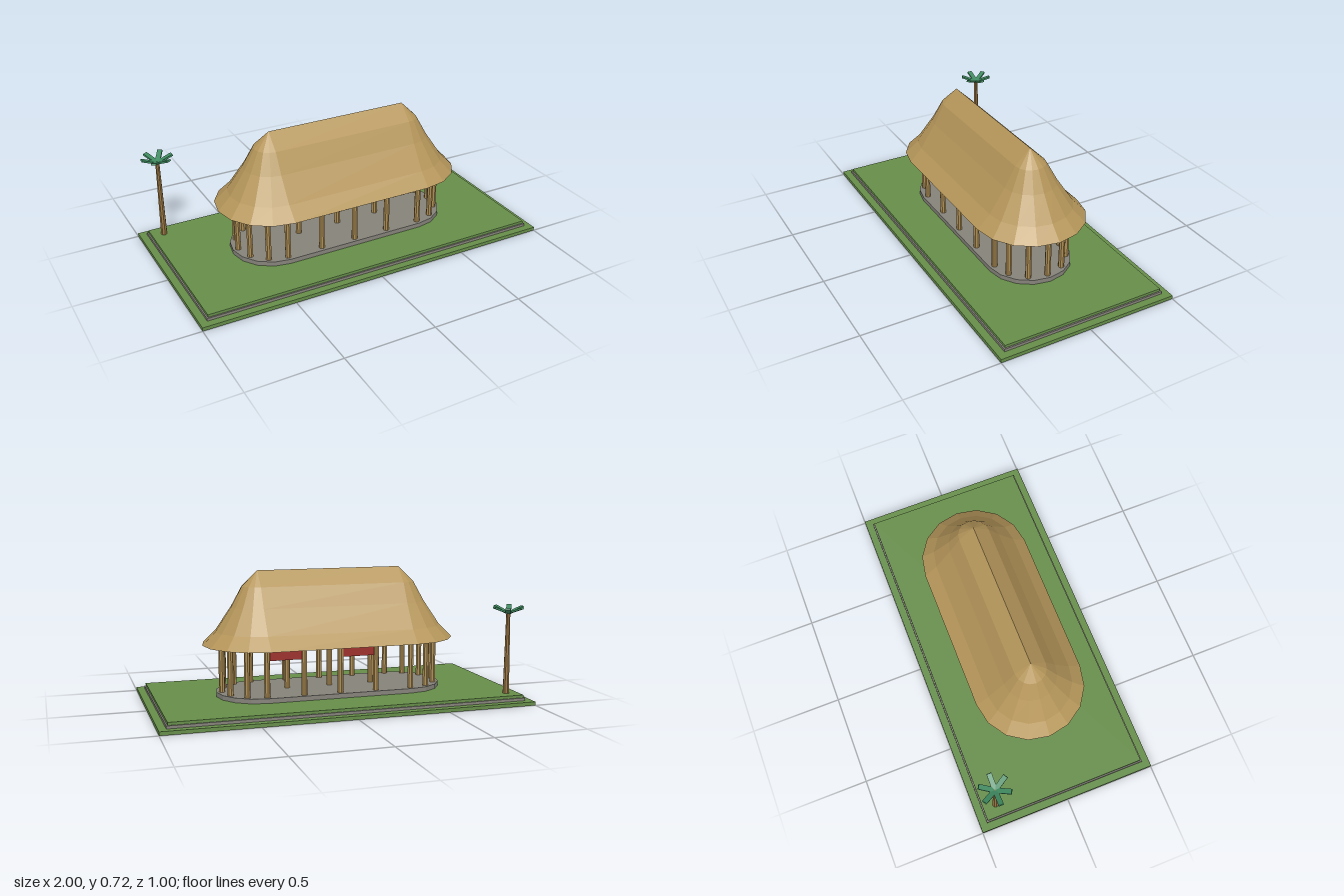
import * as THREE from 'three';

const material = (name, color) => {
  const m = new THREE.MeshStandardMaterial({ color });
  m.name = name;
  return m;
};

// Faceted loft of stadium-shaped rings; profile holds [radius, y] from bottom to top.
function stadiumLoft(profile, halfLength, segments = 8) {
  const ring = ([r, y]) => {
    const points = [];
    for (const side of [1, -1]) {
      for (let i = 0; i <= segments; i++) {
        const a = side * Math.PI / 2 - (i / segments) * Math.PI;
        points.push([side * halfLength + r * Math.cos(a), y, r * Math.sin(a)]);
      }
    }
    return points;
  };
  const rings = profile.map(ring);
  const pos = [];
  const same = (p, q) => Math.hypot(p[0] - q[0], p[1] - q[1], p[2] - q[2]) < 1e-6;
  const tri = (a, b, c) => {
    if (!same(a, b) && !same(b, c) && !same(c, a)) pos.push(...a, ...b, ...c);
  };
  for (let k = 0; k < rings.length - 1; k++) {
    const lo = rings[k], hi = rings[k + 1], n = lo.length;
    for (let i = 0; i < n; i++) {
      const j = (i + 1) % n;
      tri(lo[i], lo[j], hi[j]);
      tri(lo[i], hi[j], hi[i]);
    }
  }
  const g = new THREE.BufferGeometry();
  g.setAttribute('position', new THREE.Float32BufferAttribute(pos, 3));
  g.computeVertexNormals();
  return g;
}

// Faceted upright post between two heights
function post(rTop, rBottom, y0, y1, sides = 8) {
  const g = new THREE.CylinderGeometry(rTop, rBottom, y1 - y0, sides).toNonIndexed();
  g.computeVertexNormals();
  return g.translate(0, (y0 + y1) / 2, 0);
}

export function createModel() {
  const grass = material('grass', 0x658d49);
  const stone = material('stone', 0x85827a);
  const thatch = material('thatch', 0xb5965a);
  const wood = material('wood', 0xac8c53);
  const red = material('red cloth', 0x9c2f2b);
  const bark = material('bark', 0x9a7643);
  const leaf = material('palm leaf', 0x3f8a60);

  const model = new THREE.Group();
  model.name = 'thatchedHall';
  const add = (name, geometry, mat, parent = model) => {
    const mesh = new THREE.Mesh(geometry, mat);
    mesh.name = name;
    parent.add(mesh);
    return mesh;
  };
  const slab = (name, w, d, y0, y1, mat) =>
    add(name, new THREE.BoxGeometry(w, y1 - y0, d).translate(0, (y0 + y1) / 2, 0), mat);

  // Stepped ground
  slab('lawn', 2, 1, 0, 0.02, grass);
  slab('stoneStep', 1.92, 0.92, 0.02, 0.035, stone);
  slab('upperLawn', 1.905, 0.905, 0.035, 0.05, grass);

  // Round-ended plinth and thatched roof with closed underside
  add('plinth', stadiumLoft([[0, 0.05], [0.23, 0.05], [0.23, 0.075], [0, 0.075]], 0.4), stone);
  add('roof', stadiumLoft([[0, 0.33], [0.3, 0.33], [0.23, 0.4], [0.143, 0.53],
    [0.084, 0.638], [0, 0.72]], 0.4), thatch);

  // Posts: two long rows, rounded ends and a row under the ridge
  const posts = new THREE.Group();
  posts.name = 'posts';
  model.add(posts);
  const postGeometry = post(0.016, 0.016, 0.075, 0.332);
  const addPost = (name, x, z) => add(name, postGeometry, wood, posts).position.set(x, 0, z);
  for (const side of [1, -1]) {
    for (const x of [-0.2, 0, 0.2]) addPost('sidePost', x, side * 0.2);
    for (let i = -3; i <= 3; i++) {
      const a = i * Math.PI / 6;
      addPost('endPost', side * (0.4 + 0.2 * Math.cos(a)), 0.2 * Math.sin(a));
    }
  }
  for (const x of [-0.24, 0, 0.24]) addPost('ridgePost', x, 0);

  // Red hangings in alternate bays, front and back
  for (const z of [0.2, -0.2]) {
    for (const x of [-0.1, 0.3]) {
      add('hanging', new THREE.BoxGeometry(0.18, 0.05, 0.009), red).position.set(x, 0.293, z);
    }
  }

  // Palm tree in the back corner
  const palm = new THREE.Group();
  palm.name = 'palm';
  palm.position.set(-0.885, 0, -0.381);
  model.add(palm);
  add('palmTrunk', post(0.011, 0.0175, 0.05, 0.492), bark, palm);
  const frond = new THREE.BoxGeometry(0.085, 0.01, 0.027)
    .translate(0.048, 0, 0).rotateZ(0.37).translate(0, 0.488, 0);
  for (let i = 0; i < 6; i++) {
    add('palmFrond', frond, leaf, palm).rotation.y = i * Math.PI / 3;
  }
  return model;
}
